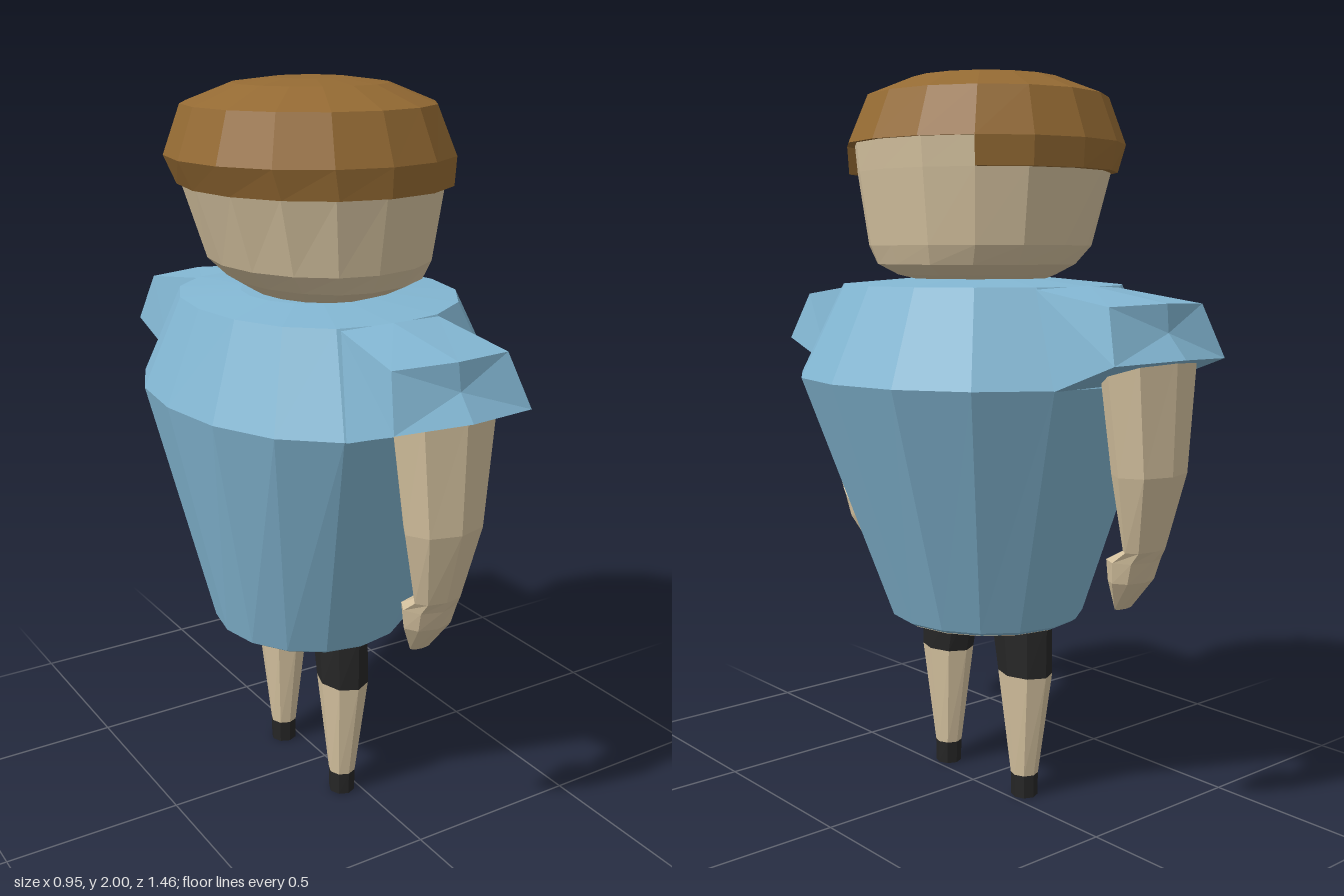
import * as THREE from 'three';

const material = (color) => new THREE.MeshStandardMaterial({ color, flatShading: true, side: THREE.DoubleSide });
const shirt = material(0x83b7d3);
const skin = material(0xd6c3a0);
const brown = material(0x946a33);
const black = material(0x262626);

// Cross-section around y; the +x half and -x half may have different depths,
// and power < 1 makes the -x half fuller.
function ring(y, cx, cz, front, back, rz, n = 16, power = 1, from = 0, to = Math.PI * 2) {
  const points = [];
  const closed = to - from > 6.28;
  for (let i = 0; i < (closed ? n : n + 1); i++) {
    const t = from + ((to - from) * i) / n;
    const c = Math.cos(t);
    const x = c >= 0 ? front * c : -back * Math.pow(-c, power);
    points.push(new THREE.Vector3(cx + x, y, cz + rz * Math.sin(t)));
  }
  return points;
}

// Skin a list of cross-sections, with optional fan caps at both ends
function loft(name, rings, mat, { closed = true, caps = true } = {}) {
  const pos = [];
  const tri = (...pts) => pts.forEach((p) => pos.push(p.x, p.y, p.z));
  const n = rings[0].length;
  for (let r = 0; r < rings.length - 1; r++) {
    for (let i = 0; i < (closed ? n : n - 1); i++) {
      const j = (i + 1) % n;
      const [a, b, c, d] = [rings[r][i], rings[r][j], rings[r + 1][j], rings[r + 1][i]];
      tri(a, d, b);
      tri(b, d, c);
    }
  }
  if (caps) {
    [rings[0], rings[rings.length - 1]].forEach((loop, end) => {
      const mid = loop.reduce((s, p) => s.add(p), new THREE.Vector3()).divideScalar(n);
      loop.forEach((p, i) => {
        const q = loop[(i + 1) % n];
        if (end) tri(p, mid, q);
        else tri(p, q, mid);
      });
    });
  }
  const geo = new THREE.BufferGeometry();
  geo.setAttribute('position', new THREE.Float32BufferAttribute(pos, 3));
  geo.computeVertexNormals();
  const mesh = new THREE.Mesh(geo, mat);
  mesh.name = name;
  return mesh;
}

function createSleeve(s) {
  // Inner section meets the shirt, outer section is the peaked cuff
  const inner = [[-0.24, 1.185, 0.486], [-0.185, 1.43, 0.37], [-0.05, 1.438, 0.4],
    [0.108, 1.43, 0.37], [0.154, 1.185, 0.486], [-0.05, 1.185, 0.5]];
  const outer = [[-0.243, 1.26, 0.688], [-0.216, 1.395, 0.634], [-0.05, 1.4, 0.665],
    [0.12, 1.395, 0.634], [0.155, 1.26, 0.688], [-0.05, 1.267, 0.728]];
  const section = (list) => {
    const pts = list.map(([x, y, z]) => new THREE.Vector3(x, y, z * s));
    return s < 0 ? pts.reverse() : pts;
  };
  return loft('sleeve', [section(inner), section(outer)], shirt);
}

function createArm(s) {
  // y, half width, inner z, outer z
  const sections = [[0.62, 0.03, 0.525, 0.55], [0.7, 0.07, 0.517, 0.612], [0.755, 0.078, 0.512, 0.632],
    [0.785, 0.07, 0.57, 0.645], [0.98, 0.112, 0.543, 0.697], [1.29, 0.15, 0.51, 0.705]];
  return loft('arm', sections.map(([y, w, zi, zo]) =>
    ring(y, -0.047, (s * (zi + zo)) / 2, w, w, (zo - zi) / 2, 8)), skin);
}

function createLeg(s) {
  const leg = new THREE.Group();
  leg.name = 'leg';
  const section = (y, w, zi, zo) => ring(y, -0.047, (s * (zi + zo)) / 2, w, w, (zo - zi) / 2, 8);
  const sole = section(0, 0.037, 0.132, 0.207);
  const ankle = section(0.065, 0.038, 0.13, 0.208);
  const knee = section(0.36, 0.067, 0.085, 0.255);
  const hip = section(0.52, 0.067, 0.048, 0.257);
  leg.add(loft('shoe', [sole, ankle], black), loft('shin', [ankle, knee], skin),
    loft('trouserLeg', [knee, hip], black));
  return leg;
}

export function createModel() {
  const model = new THREE.Group();
  model.name = 'figure';

  // Barrel-shaped shirt
  model.add(loft('shirt', [
    ring(0.5, -0.05, 0, 0.255, 0.255, 0.265),
    ring(0.51, -0.05, 0, 0.272, 0.272, 0.28),
    ring(1.187, -0.05, 0, 0.525, 0.428, 0.525, 16, 0.82),
    ring(1.435, -0.05, 0, 0.405, 0.33, 0.4, 16, 0.85),
    ring(1.452, -0.05, 0, 0.2, 0.18, 0.2),
  ], shirt));
  model.add(loft('hips', [ring(0.497, -0.05, 0, 0.25, 0.25, 0.258), ring(0.505, -0.05, 0, 0.25, 0.25, 0.258)], skin));

  for (const s of [1, -1]) model.add(createSleeve(s), createArm(s), createLeg(s));

  // Head with a forward jaw
  model.add(loft('head', [
    ring(1.445, -0.04, 0, 0.17, 0.14, 0.18),
    ring(1.462, -0.04, 0, 0.25, 0.17, 0.23),
    ring(1.49, -0.04, 0, 0.303, 0.215, 0.29),
    ring(1.54, -0.04, 0, 0.32, 0.27, 0.322),
    ring(1.735, -0.04, 0, 0.348, 0.338, 0.354),
    ring(1.83, -0.04, 0, 0.358, 0.348, 0.362),
  ], skin));

  // Hair cap, and a lower band left open over the face
  model.add(loft('hair', [
    ring(1.812, -0.045, 0, 0.34, 0.34, 0.345),
    ring(1.81, -0.045, 0, 0.383, 0.38, 0.385),
    ring(1.937, -0.045, 0, 0.328, 0.335, 0.335),
    ring(1.987, -0.045, 0, 0.205, 0.205, 0.205),
    ring(2, -0.045, 0, 0.1, 0.1, 0.1),
  ], brown));
  const arc = [12, 1, Math.PI / 4, Math.PI * 1.75];
  model.add(loft('hairBand', [
    ring(1.81, -0.045, 0, 0.34, 0.33, 0.345, ...arc),
    ring(1.735, -0.045, 0, 0.33, 0.325, 0.345, ...arc),
    ring(1.735, -0.045, 0, 0.378, 0.342, 0.38, ...arc),
    ring(1.81, -0.045, 0, 0.383, 0.38, 0.385, ...arc),
  ], brown, { closed: false, caps: false }));

  return model;
}
